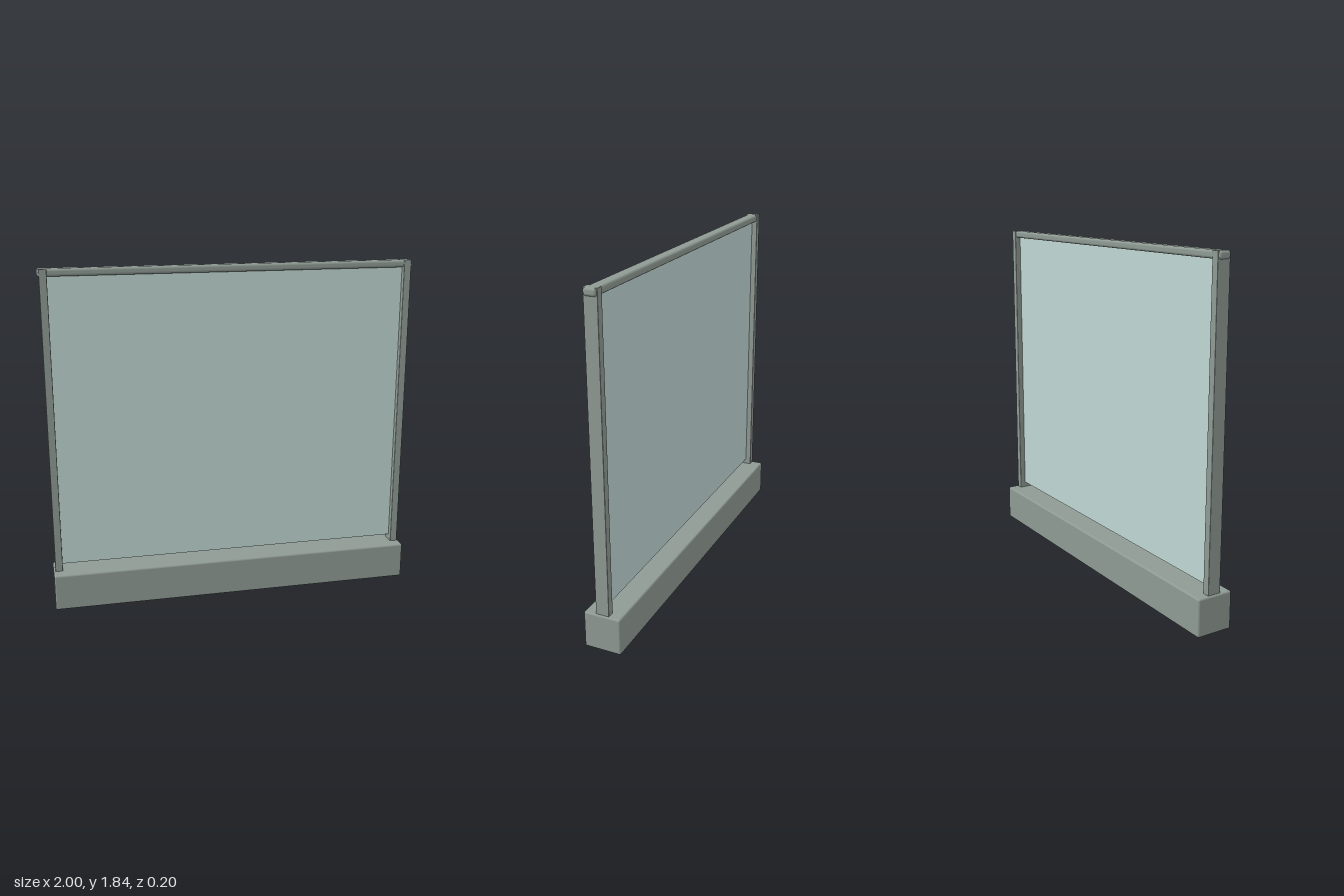
import * as THREE from 'three';
import { RoundedBoxGeometry } from 'three/addons/geometries/RoundedBoxGeometry.js';

export function createModel() {
  const model = new THREE.Group();
  model.name = 'framedScreen';
  const frame = new THREE.MeshStandardMaterial({ color: 0x8f9a94 });
  const glass = new THREE.MeshStandardMaterial({ color: 0xbfd6d2 });

  function add(name, geometry, material, x, y, z) {
    const mesh = new THREE.Mesh(geometry, material);
    mesh.name = name;
    mesh.position.set(x, y, z);
    model.add(mesh);
  }

  // Heavy base with softened edges
  add('base', new RoundedBoxGeometry(2, 0.2, 0.2, 3, 0.01), frame, 0, 0.1, 0);

  // Side posts, rising through the rail
  for (const side of [1, -1]) {
    add(side > 0 ? 'leftPost' : 'rightPost',
      new RoundedBoxGeometry(0.04, 1.64, 0.072, 2, 0.003), frame, side * 0.97, 1.015, 0);
  }

  // Rounded top rail
  add('topRail', new RoundedBoxGeometry(2, 0.04, 0.066, 4, 0.014), frame, 0, 1.815, 0);

  // Pane, stopping short of the base
  add('pane', new THREE.BoxGeometry(1.9, 1.57, 0.01), glass, 0, 1.015, 0);

  return model;
}
